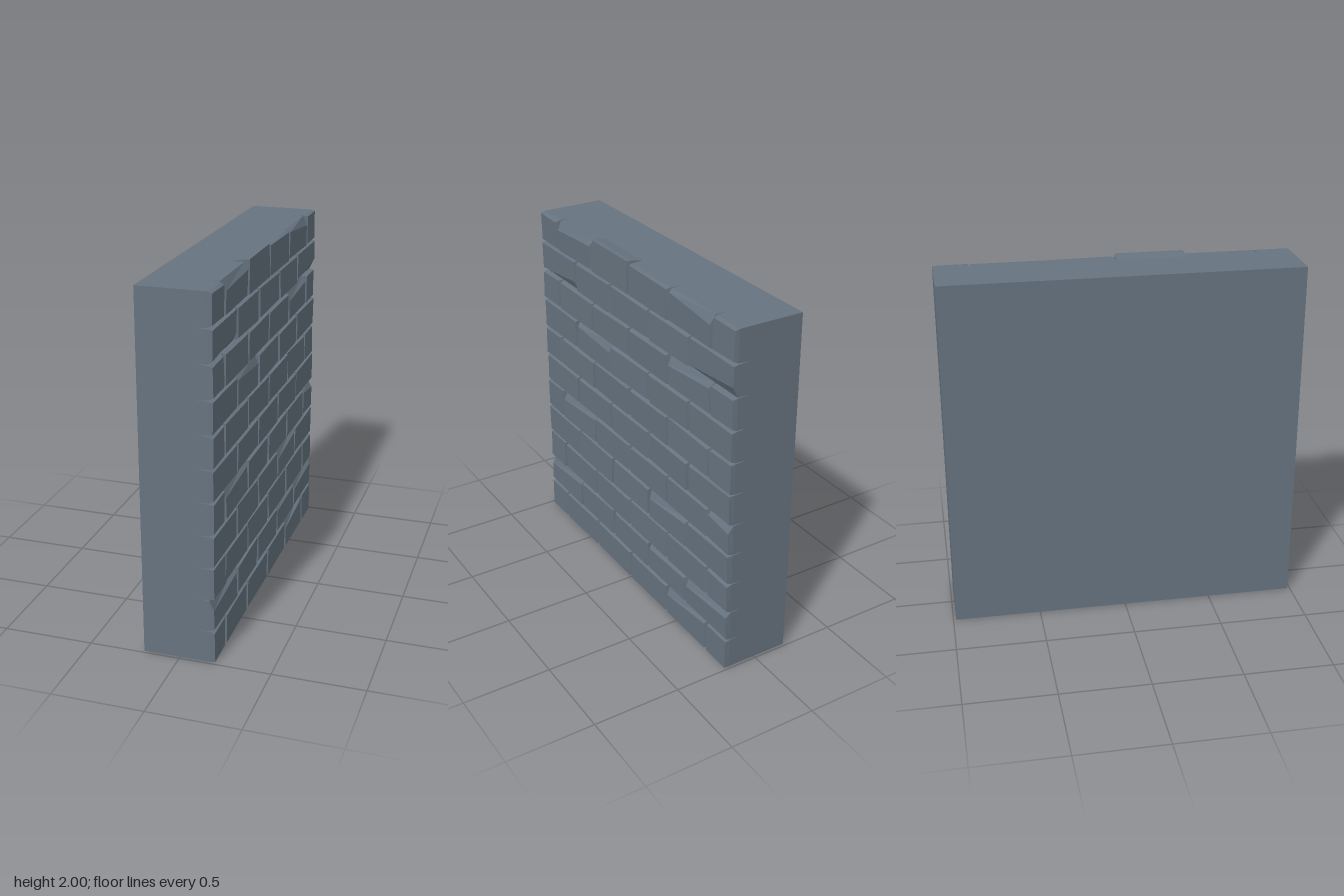
import * as THREE from 'three';

const BACK = -0.2, CORE = 0.1, MID = 0.165, FACE = 0.195;
const HALF = 0.985, TOP = 1.99, ROWS = 11, ROW_H = TOP / ROWS;

// Seams between bricks, from the wall's left end (+z) to its right end.
const EVEN = [HALF, 0.79, 0.395, 0, -0.395, -0.79, -HALF];
const ODD = [HALF, 0.59, 0.2, -0.2, -0.59, -HALF];

// Larger chips: 'row,brick' -> cut at [bottom left, bottom right, top right, top left]
const CHIPS = {
  '0,4': [0, 0, 0.01, 0.045], '1,0': [0, 0, 0.02, 0.045], '1,3': [0, 0, 0.015, 0.025],
  '1,4': [0, 0, 0.02, 0.05], '3,3': [0, 0, 0.015, 0.045], '4,1': [0, 0, 0.015, 0.045],
  '4,5': [0, 0, 0.04, 0.02], '7,1': [0, 0, 0.04, 0.015], '8,4': [0, 0, 0.02, 0.045],
  '9,0': [0.01, 0.045, 0, 0], '9,4': [0.015, 0.045, 0, 0], '10,1': [0, 0, 0.02, 0.04],
  '10,2': [0, 0, -0.012, -0.012], '10,4': [0, 0, 0.04, 0.01],
};

function seeded(seed) {
  return () => {
    seed = (seed * 16807) % 2147483647;
    return seed / 2147483647;
  };
}

// Joins rings of four corners front to back and caps the last ring.
function loft(rings) {
  const pos = [];
  const quad = (a, b, c, d) => pos.push(...a, ...b, ...c, ...a, ...c, ...d);
  for (let k = 0; k < rings.length - 1; k++) {
    for (let j = 0; j < 4; j++) {
      const n = (j + 1) % 4;
      quad(rings[k][j], rings[k][n], rings[k + 1][n], rings[k + 1][j]);
    }
  }
  quad(...rings[rings.length - 1]);
  const geo = new THREE.BufferGeometry();
  geo.setAttribute('position', new THREE.Float32BufferAttribute(pos, 3));
  geo.computeVertexNormals();
  return geo;
}

// One brick: full cell at the core, narrow joint midway, worn edges at the face.
function brickGeometry(row, col, zl, zr, rand) {
  const y0 = row * ROW_H, y1 = y0 + ROW_H;
  const chip = CHIPS[row + ',' + col] || [0, 0, 0, 0];
  const cell = [[y0, zl], [y0, zr], [y1, zr], [y1, zl]];
  const tiltZ = (rand() - 0.5) * 0.008, tiltY = (rand() - 0.5) * 0.008;
  const core = [], mid = [], face = [];
  cell.forEach(([y, z], j) => {
    const inY = j < 2 ? 1 : -1;            // direction towards the brick's middle
    const inZ = j === 0 || j === 3 ? -1 : 1;
    const gapY = y < 0.01 || y > TOP - 0.01 ? 0 : 0.003;
    const gapZ = Math.abs(z) > HALF - 0.01 ? 0 : 0.004;
    const wearY = y < 0.01 ? 0.002 : 0.003 + rand() * 0.01;
    const wearZ = gapZ ? 0.003 + rand() * 0.013 : rand() * 0.006;
    const cut = chip[j] < 0 ? chip[j] : chip[j] + wearY;
    const x = FACE - 0.004 + tiltZ * inZ * 0.5 + tiltY * inY * 0.5;
    core.push([CORE, y, z]);
    mid.push([MID, y + inY * (gapY + Math.min(0, chip[j])), z + inZ * gapZ]);
    face.push([x, y + inY * (gapY + cut), z + inZ * (gapZ + wearZ)]);
  });
  return loft([core, mid, face]);
}

export function createModel() {
  const wall = new THREE.Group();
  wall.name = 'brickWall';
  const stone = new THREE.MeshStandardMaterial({ color: 0x66737f, flatShading: true });

  // Solid slab behind the bricks
  const slab = new THREE.Mesh(new THREE.BoxGeometry(CORE - BACK, TOP, HALF * 2), stone);
  slab.position.set((BACK + CORE) / 2, TOP / 2, 0);
  slab.name = 'wallCore';
  wall.add(slab);

  // Courses in running bond on the +x side
  const rand = seeded(4711);
  for (let row = 0; row < ROWS; row++) {
    const course = new THREE.Group();
    course.name = 'course' + (row + 1);
    const seams = row % 2 ? ODD : EVEN;
    for (let i = 0; i < seams.length - 1; i++) {
      const brick = new THREE.Mesh(brickGeometry(row, i, seams[i], seams[i + 1], rand), stone);
      brick.name = 'brick';
      course.add(brick);
    }
    wall.add(course);
  }
  return wall;
}
